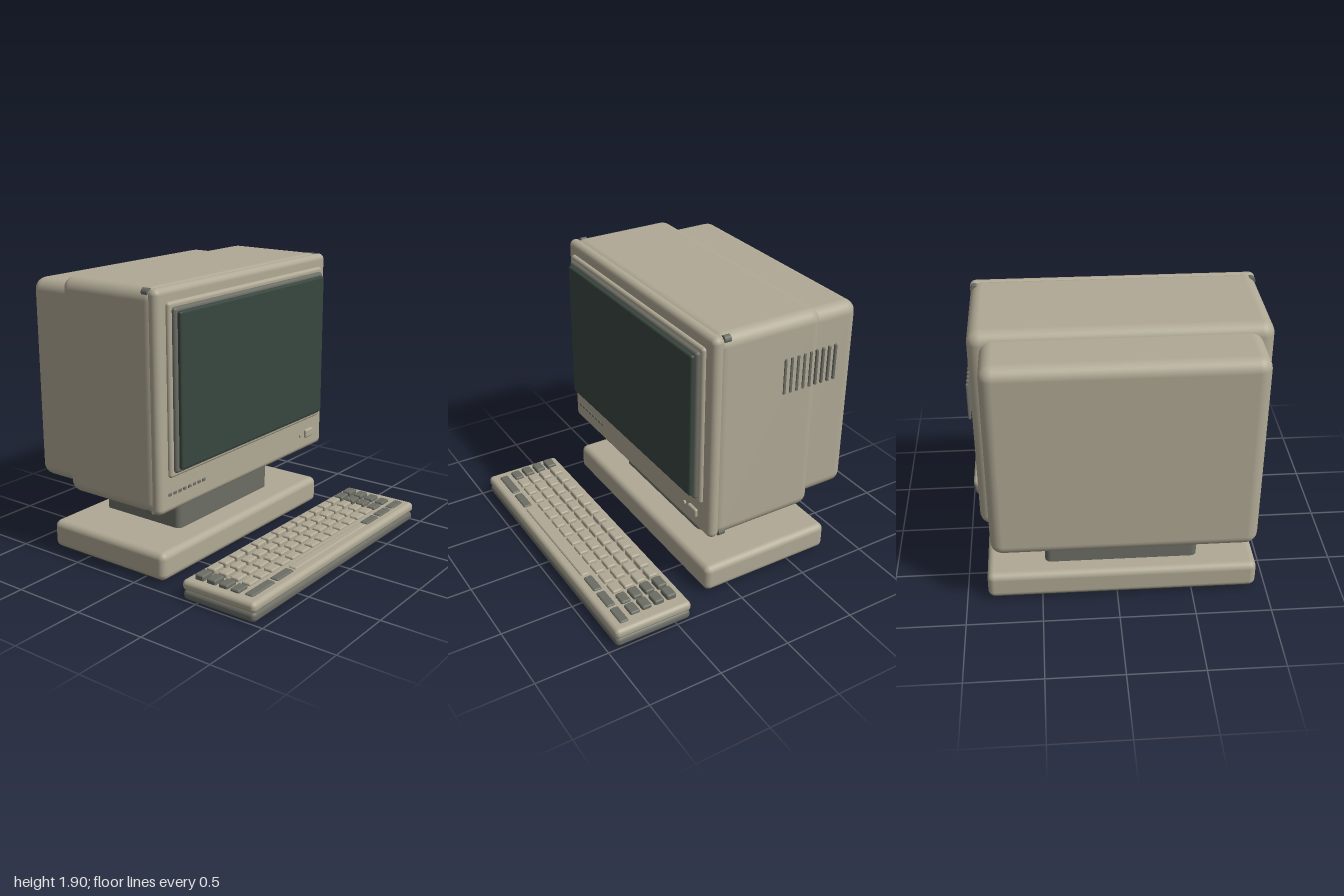
import * as THREE from 'three';
import { RoundedBoxGeometry } from 'three/addons/geometries/RoundedBoxGeometry.js';

const material = (name, color) => {
  const m = new THREE.MeshStandardMaterial({ color });
  m.name = name;
  return m;
};

export function createModel() {
  const model = new THREE.Group();
  model.name = 'desktopComputer';
  const beige = material('beige plastic', 0xb0a995);
  const grey = material('dark grey plastic', 0x6c6e65);
  const glass = material('screen green', 0x38463f);

  const group = (name) => {
    const g = new THREE.Group();
    g.name = name;
    model.add(g);
    return g;
  };

  // Rounded block given by its extents along each axis
  function block(parent, name, mat, [x0, x1], [y0, y1], [z0, z1], radius, segments = 4) {
    const size = [x1 - x0, y1 - y0, z1 - z0];
    const r = Math.min(radius, Math.min(...size) * 0.49);
    const mesh = new THREE.Mesh(new RoundedBoxGeometry(...size, segments, r), mat);
    mesh.position.set((x0 + x1) / 2, (y0 + y1) / 2, (z0 + z1) / 2);
    mesh.name = name;
    parent.add(mesh);
    return mesh;
  }

  // Short cylinder facing forward
  function disc(parent, name, mat, x, y, z0, z1, radius) {
    const geometry = new THREE.CylinderGeometry(radius, radius, z1 - z0, 16).rotateX(Math.PI / 2);
    const mesh = new THREE.Mesh(geometry, mat);
    mesh.position.set(x, y, (z0 + z1) / 2);
    mesh.name = name;
    parent.add(mesh);
  }

  // Stand
  const stand = group('stand');
  block(stand, 'footPlate', glass, [-0.9, 0.83], [0.01, 0.035], [-0.76, 0.15], 0.01, 2);
  block(stand, 'base', beige, [-0.93, 0.86], [0.02, 0.21], [-0.785, 0.19], 0.045);
  block(stand, 'neck', grey, [-0.54, 0.475], [0.15, 0.54], [-0.66, 0], 0.04);

  // Monitor housing
  const monitor = group('monitor');
  block(monitor, 'housing', beige, [-0.96, 0.89], [0.47, 1.9], [-0.6, 0.18], 0.08);
  block(monitor, 'rearHousing', beige, [-0.885, 0.815], [0.495, 1.85], [-0.94, -0.4], 0.08);
  block(monitor, 'bezel', beige, [-0.963, 0.893], [0.478, 1.897], [0.118, 0.2], 0.04);
  for (const x of [-0.93, 0.86]) {
    for (const y of [0.498, 1.872]) disc(monitor, 'cornerScrew', grey, x, y, 0.075, 0.12, 0.025);
  }

  // Stepped screen surround and screen
  block(monitor, 'screenFrame', beige, [-0.88, 0.81], [0.715, 1.813], [0.16, 0.225], 0.02);
  block(monitor, 'screenLip', grey, [-0.853, 0.783], [0.745, 1.782], [0.18, 0.25], 0.02);
  block(monitor, 'screen', glass, [-0.83, 0.762], [0.767, 1.758], [0.2, 0.275], 0.015);

  // Front controls
  for (let i = 0; i < 8; i++) {
    const x = -0.867 + i * 0.048;
    block(monitor, 'indicator', grey, [x - 0.015, x + 0.015], [0.594, 0.614], [0.185, 0.206], 0.004, 2);
  }
  disc(monitor, 'lamp', beige, 0.602, 0.604, 0.185, 0.212, 0.014);
  block(monitor, 'powerButton', beige, [0.655, 0.752], [0.573, 0.635], [0.18, 0.22], 0.012, 2);

  // Side vent slats
  for (let i = 0; i < 9; i++) {
    const z = -0.325 - i * 0.048;
    block(monitor, 'ventSlat', grey, [0.88, 0.897], [1.395, 1.64], [z - 0.01, z + 0.01], 0.006, 2);
  }

  // Keyboard case
  const keyboard = group('keyboard');
  block(keyboard, 'keyboardBottom', grey, [-0.995, 0.995], [0, 0.07], [0.393, 0.937], 0.03);
  block(keyboard, 'keyboardTop', beige, [-1, 1], [0.064, 0.135], [0.39, 0.94], 0.03);

  // Four rows of regular keys, rising towards the back
  [[0.483, 0.17], [0.574, 0.165], [0.664, 0.16], [0.751, 0.153]].forEach(([z, top]) => {
    for (let i = 0; i < 16; i++) {
      const x = -0.893 + i * 0.1167;
      const mat = i === 0 || i > 13 ? grey : beige;
      block(keyboard, 'key', mat, [x - 0.049, x + 0.049], [0.115, top], [z - 0.034, z + 0.034], 0.012, 2);
    }
  });

  // Front row with the space bar
  const frontRow = [[-0.93, -0.69], [-0.665, -0.487], [-0.462, 0.41], [0.433, 0.588], [0.612, 0.768], [0.79, 0.94]];
  frontRow.forEach((span, i) => {
    const space = i === 2;
    block(keyboard, space ? 'spaceBar' : 'wideKey', space ? beige : grey, span, [0.115, 0.146], [0.817, 0.879], 0.012, 2);
  });

  return model;
}
